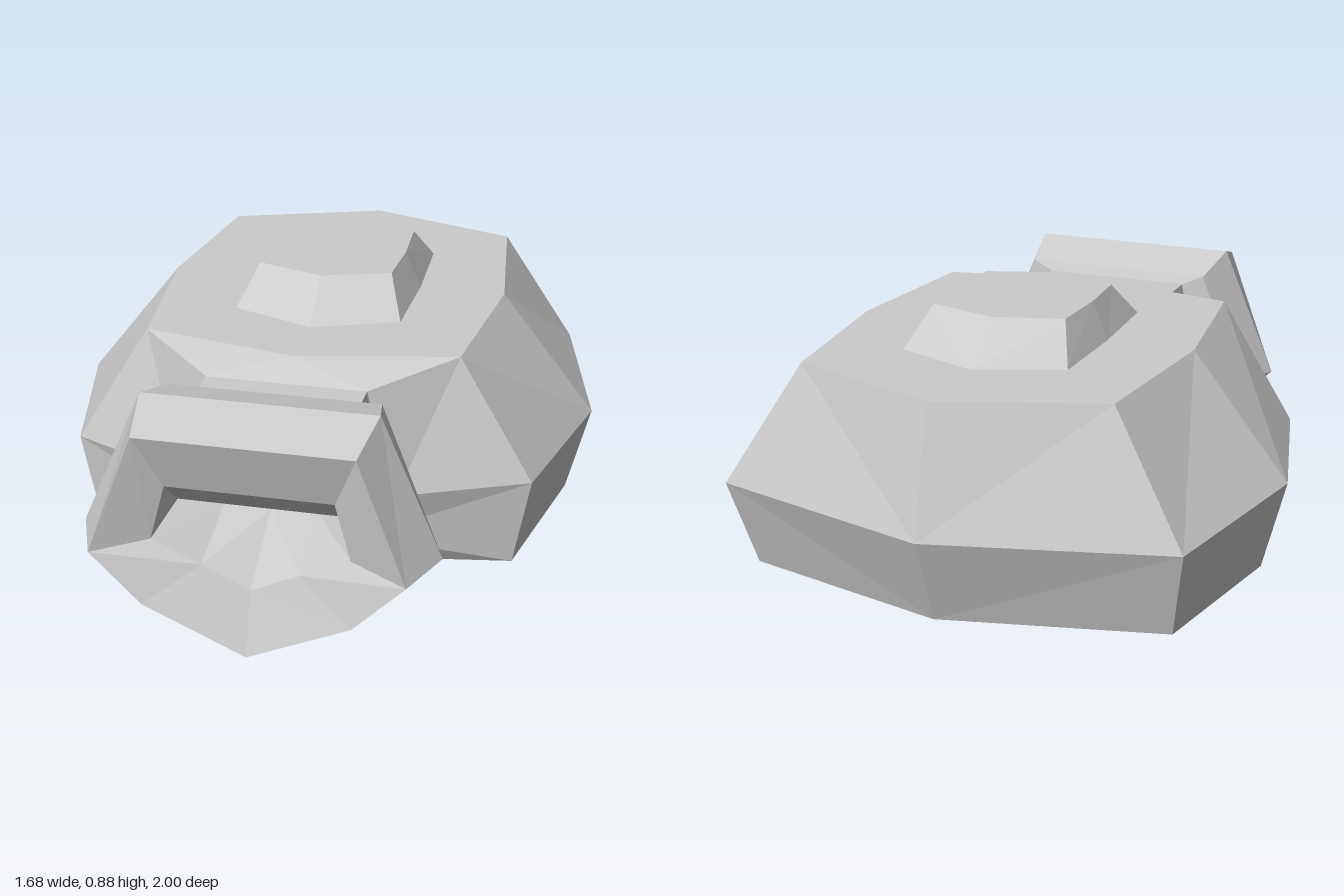
import * as THREE from 'three';

const material = new THREE.MeshStandardMaterial({ color: 0xcccccc, flatShading: true });

// Turn five half-outline points into a mirrored ring of eight
const mirror = (half) => [
  ...half,
  ...half.slice(1, 4).reverse().map(([x, y, z]) => [-x, y, z]),
];

// Horizontal ring: [x, z] from back to front; upright ring: [x, y] from top to bottom
const flatRing = (y, half) => mirror(half.map(([x, z]) => [x, y, z]));
const uprightRing = (z, half) => mirror(half.map(([x, y]) => [x, y, z]));
const pointRing = (x, y, z) => Array.from({ length: 8 }, () => [x, y, z]);

// Skin a series of rings, leaving out the listed segments
function loft(name, rings, skip = []) {
  const pos = [];
  const area = new THREE.Triangle();
  const tri = (a, b, c) => {
    area.set(new THREE.Vector3(...a), new THREE.Vector3(...b), new THREE.Vector3(...c));
    if (area.getArea() > 1e-7) pos.push(...a, ...b, ...c);
  };
  for (let r = 0; r < rings.length - 1; r++) {
    const a = rings[r], b = rings[r + 1];
    for (let i = 0; i < 8; i++) {
      if (skip.includes(i)) continue;
      const j = (i + 1) % 8;
      // mirrored diagonals keep the two sides symmetric
      if (i < 4) { tri(a[i], b[i], b[j]); tri(a[i], b[j], a[j]); }
      else { tri(a[i], b[i], a[j]); tri(b[i], b[j], a[j]); }
    }
  }
  const geo = new THREE.BufferGeometry();
  geo.setAttribute('position', new THREE.Float32BufferAttribute(pos, 3));
  geo.computeVertexNormals();
  const mesh = new THREE.Mesh(geo, material);
  mesh.name = name;
  return mesh;
}

export function createModel() {
  const group = new THREE.Group();
  group.name = 'model';

  // Body: three octagonal levels, open where the neck grows out
  const low = flatRing(0.1, [[0, -0.89], [0.66, -0.73], [0.77, -0.2], [0.66, 0.33], [0, 0.43]]);
  const mid = flatRing(0.38, [[0, -1], [0.71, -0.81], [0.84, -0.2], [0.71, 0.34], [0, 0.5]]);
  const top = flatRing(0.76, [[0, -0.9], [0.48, -0.73], [0.54, -0.2], [0.48, 0.32], [0, 0.42]]);
  group.add(loft('underside', [pointRing(0, 0, -0.2), low]));
  group.add(loft('bodySides', [low, mid, top], [3, 4]));
  group.add(loft('bodyTop', [top, pointRing(0, 0.76, -0.2)]));

  // Raised plate on the back
  group.add(loft('raisedPlate', [
    flatRing(0.76, [[0, -0.61], [0.26, -0.51], [0.27, -0.2], [0.26, 0.1], [0, 0.2]]),
    flatRing(0.875, [[0, -0.46], [0.21, -0.4], [0.22, -0.2], [0.21, -0.01], [0, 0.06]]),
    pointRing(0, 0.875, -0.2),
  ]));

  // Neck: flows from the body's front opening
  const opening = mirror([top[4], top[3], mid[3], low[3], low[4]]);
  const neck = (z, w) => uprightRing(z, [[0, 0.71], [0.24, 0.71], [w, 0.38], [0.22, 0.23], [0, 0.14]]);
  const neckFront = neck(0.63, 0.31);
  group.add(loft('neck', [opening, neck(0.51, 0.33), neckFront]));

  // Head: bevelled collar with a shallow lip around the mouth
  const rim = [[0, 0.74], [0.31, 0.74], [0.45, 0.37], [0.3, 0.22], [0, 0.087]];
  const mouth = uprightRing(0.94, [[0, 0.57], [0.24, 0.57], [0.285, 0.4], [0.14, 0.335], [0, 0.27]]);
  group.add(loft('head', [
    neckFront,
    uprightRing(0.645, rim),
    uprightRing(0.82, [[0, 0.79], [0.34, 0.79], [0.52, 0.37], [0.34, 0.2], [0, 0.03]]),
    uprightRing(1, rim),
    mouth,
  ]));

  // Mouth pocket: narrows to a horizontal fold
  group.add(loft('mouthPocket', [
    mouth,
    uprightRing(0.7, [[0, 0.4], [0.24, 0.4], [0.28, 0.4], [0.14, 0.4], [0, 0.4]]),
  ]));

  return group;
}
